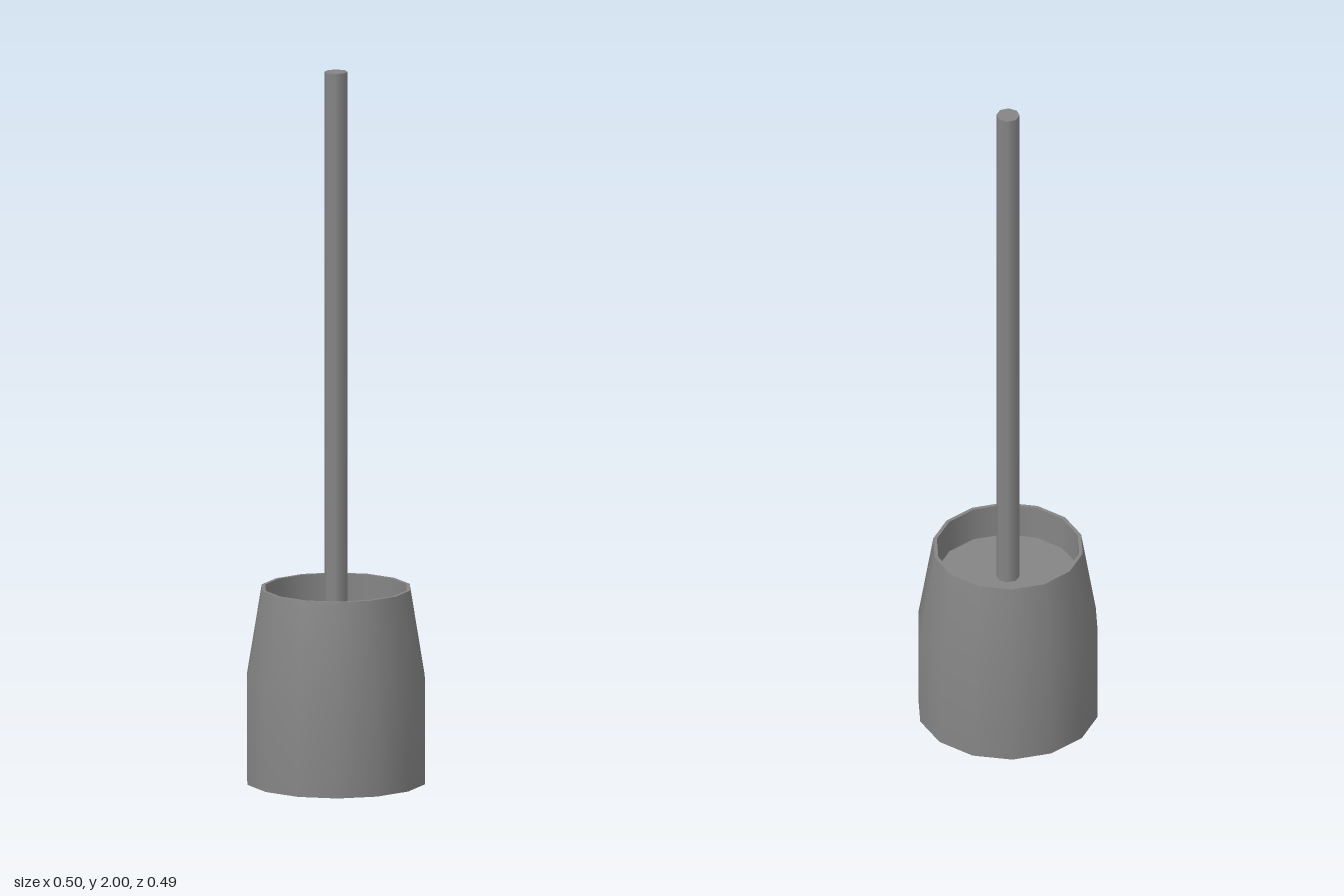
import * as THREE from 'three';
import { mergeVertices } from 'three/addons/utils/BufferGeometryUtils.js';

const SIDES = 14;

export function createModel() {
  const model = new THREE.Group();
  const material = new THREE.MeshStandardMaterial({ color: 0x858585, side: THREE.DoubleSide });

  const add = (name, geometry, parent) => {
    const mesh = new THREE.Mesh(geometry, material);
    mesh.name = name;
    parent.add(mesh);
    return mesh;
  };

  // Smooth ring of faces around the axis, welded along its seam
  const band = (profile) => {
    const points = profile.map(([r, y]) => new THREE.Vector2(r, y));
    const geometry = new THREE.LatheGeometry(points, SIDES, Math.PI / 2);
    geometry.deleteAttribute('uv');
    return mergeVertices(geometry);
  };

  // Cup: thin shell, open underneath, with a recessed top.
  // Each profile [radius, y] is its own band, so edges between bands stay sharp
  const cup = new THREE.Group();
  cup.name = 'cup';
  model.add(cup);
  const bands = {
    cupWall: [[0.252, 0], [0.252, 0.29], [0.21, 0.545]],
    cupRim: [[0.21, 0.545], [0.2, 0.545]],
    recessWall: [[0.2, 0.545], [0.2, 0.445]],
    recessFloor: [[0.2, 0.445], [0, 0.445]],
  };
  for (const [name, profile] of Object.entries(bands)) add(name, band(profile), cup);

  // Handle: slim rod rising from the recess floor
  const bottom = 0.445, top = 2;
  const handle = add('handle', new THREE.CylinderGeometry(0.0325, 0.0325, top - bottom, 8), model);
  handle.position.y = (top + bottom) / 2;

  return model;
}
